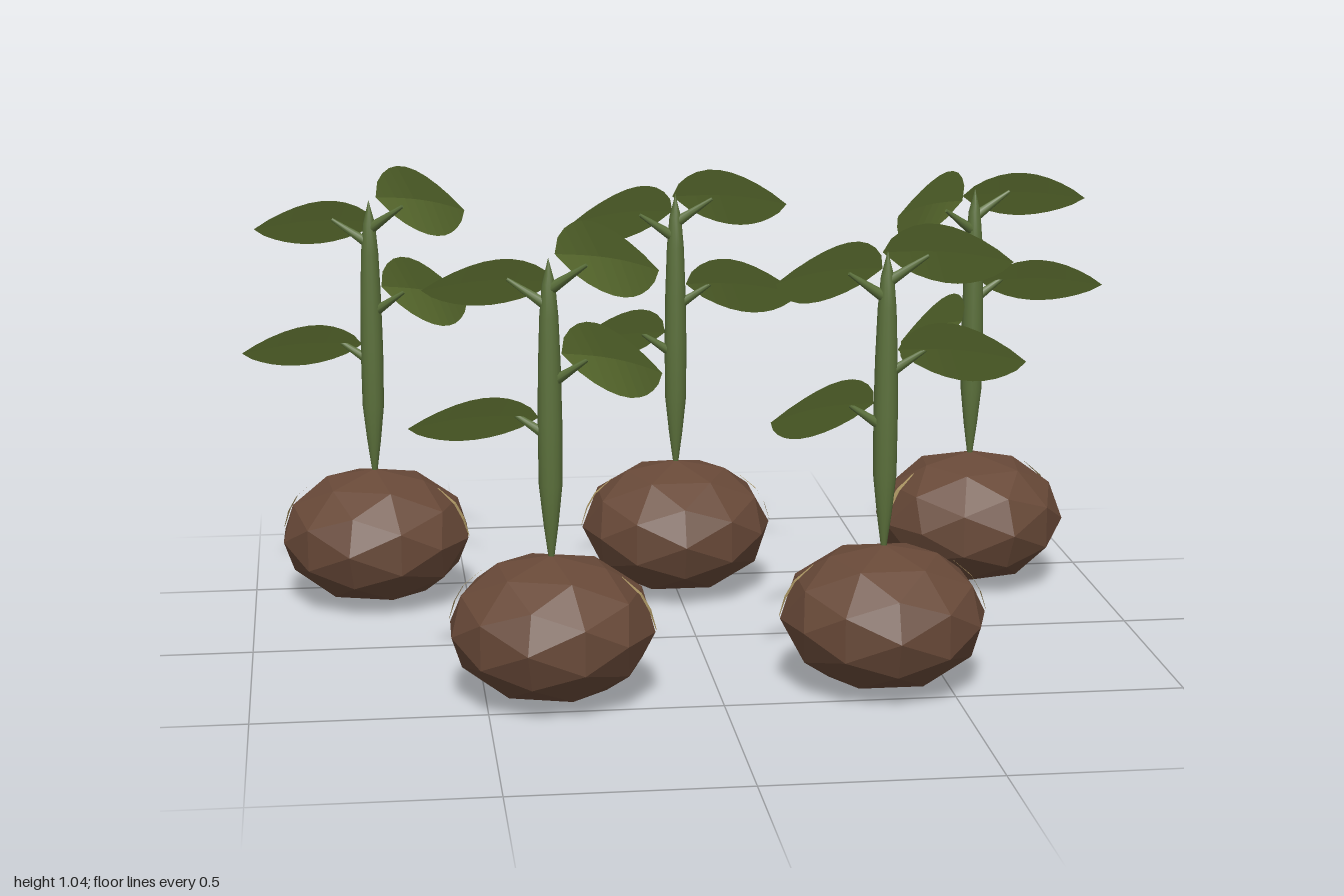
import * as THREE from 'three';

const mat = (name, color, flatShading = true, side = THREE.FrontSide) => {
  const m = new THREE.MeshStandardMaterial({ color, side, flatShading });
  m.name = name;
  return m;
};

export function createModel() {
  const model = new THREE.Group();
  model.name = 'seedlings';
  const soil = mat('soil brown', 0x684938);
  const stemGreen = mat('stem green', 0x5b703b, false);
  const leafGreen = mat('leaf green', 0x819a45, true, THREE.DoubleSide);
  const rootTan = mat('root tan', 0xb09a66, true, THREE.DoubleSide);

  const add = (parent, name, geo, material) => {
    const m = new THREE.Mesh(geo, material);
    m.name = name;
    parent.add(m);
    return m;
  };

  const surface = (pos, idx) => {
    const g = new THREE.BufferGeometry();
    g.setAttribute('position', new THREE.Float32BufferAttribute(pos, 3));
    g.setIndex(idx);
    g.computeVertexNormals();
    return g;
  };

  // Leaf blade: rows of high edge, midrib, low edge from base to tip.
  // Blades turned forward stand steeper than those turned back.
  const leafGeometry = (side, forward, from, to) => {
    const n = 10, pos = [], idx = [];
    const base = new THREE.Vector3(...from), tip = new THREE.Vector3(...to);
    const axis = tip.clone().sub(base).normalize();
    const steep = 0.75 + 0.12 * forward, flat = Math.sqrt(1 - steep * steep);
    const across = new THREE.Vector3(-axis.z * flat, steep, axis.x * flat);
    const normal = new THREE.Vector3().crossVectors(across, axis);
    for (let i = 0; i <= n; i++) {
      const t = i / n, bulge = Math.max(0, Math.sin(Math.PI * t));
      const w = 0.1 * Math.pow(Math.max(0, Math.sin(Math.PI * Math.pow(t, 0.9))), 0.8);
      const mid = base.clone().lerp(tip, t).addScaledVector(normal, 0.014 * bulge);
      for (const k of [w, 0, -w]) {
        const p = mid.clone().addScaledVector(across, k).addScaledVector(normal, -0.06 * Math.abs(k));
        pos.push(p.x * side, p.y, p.z);
      }
    }
    for (let i = 0; i < n; i++) for (let j = 0; j < 2; j++) {
      const a = i * 3 + j, b = a + 1, c = a + 3, d = a + 4;
      if (side > 0) idx.push(a, c, b, b, c, d);
      else idx.push(a, b, c, b, d, c);
    }
    return surface(pos, idx);
  };

  // Tapered stalk between two points
  const stalk = (parent, from, to) => {
    const a = new THREE.Vector3(...from), b = new THREE.Vector3(...to);
    const dir = b.clone().sub(a);
    const m = add(parent, 'leafStalk', new THREE.CylinderGeometry(0.004, 0.013, dir.length(), 8), stemGreen);
    m.position.copy(a).add(b).multiplyScalar(0.5);
    m.quaternion.setFromUnitVectors(new THREE.Vector3(0, 1, 0), dir.normalize());
  };

  // Spindle-shaped stem
  const stemGeo = new THREE.LatheGeometry(
    [[0, 0.29], [0.006, 0.31], [0.016, 0.385], [0.025, 0.47], [0.026, 0.6], [0.024, 0.72],
      [0.02, 0.83], [0.014, 0.9], [0, 0.955]].map(([r, y]) => new THREE.Vector2(r, y)), 14);

  const ballGeo = new THREE.IcosahedronGeometry(1, 1);
  ballGeo.scale(0.224, 0.158, 0.224);
  ballGeo.translate(0, 0.158, 0);

  // Thin root sliver following the side of the soil ball
  const rootGeo = (side) => {
    const rows = [[0.226, 0.163, 0.003], [0.213, 0.205, 0.009], [0.193, 0.24, 0.008], [0.152, 0.276, 0.002]];
    const pos = [], idx = [];
    for (const [x, y, w] of rows) pos.push(x * side, y, w * side, x * side, y, -w * side);
    for (let i = 0; i < rows.length - 1; i++) {
      const a = i * 2;
      idx.push(a, a + 1, a + 2, a + 1, a + 3, a + 2);
    }
    return surface(pos, idx);
  };

  // side, height, base and tip of each leaf
  const upper = [[0, 0, -0.06], [0.25, 0, 0.085]];
  const lower = [[0.025, 0, -0.005], [0.268, 0, 0.145]];
  const leaves = [[1, 0.94, upper], [-1, 0.905, upper], [1, 0.74, lower], [-1, 0.625, lower]];
  const plants = [[-0.713, -0.4, -0.3], [0, -0.4, 0], [0.713, -0.4, 0.3], [-0.357, 0.4, -0.3], [0.357, 0.4, 0]];

  for (const [x, z, turn] of plants) {
    const plant = new THREE.Group();
    plant.name = 'seedling';
    plant.position.set(x, 0, z);
    plant.rotation.y = turn;
    add(plant, 'soilBall', ballGeo, soil);
    add(plant, 'stem', stemGeo, stemGreen);
    for (const side of [1, -1]) add(plant, 'root', rootGeo(side), rootTan);
    for (const [side, y, [base, tip]] of leaves) {
      const forward = -side * turn / 0.3;
      const leaf = add(plant, 'leaf', leafGeometry(side, forward, base, tip), leafGreen);
      leaf.position.y = y + 0.012 * forward;
      stalk(plant, [0.005 * side, y - 0.05, 0], [0.085 * side, y + 0.005, 0.015]);
    }
    model.add(plant);
  }
  return model;
}
